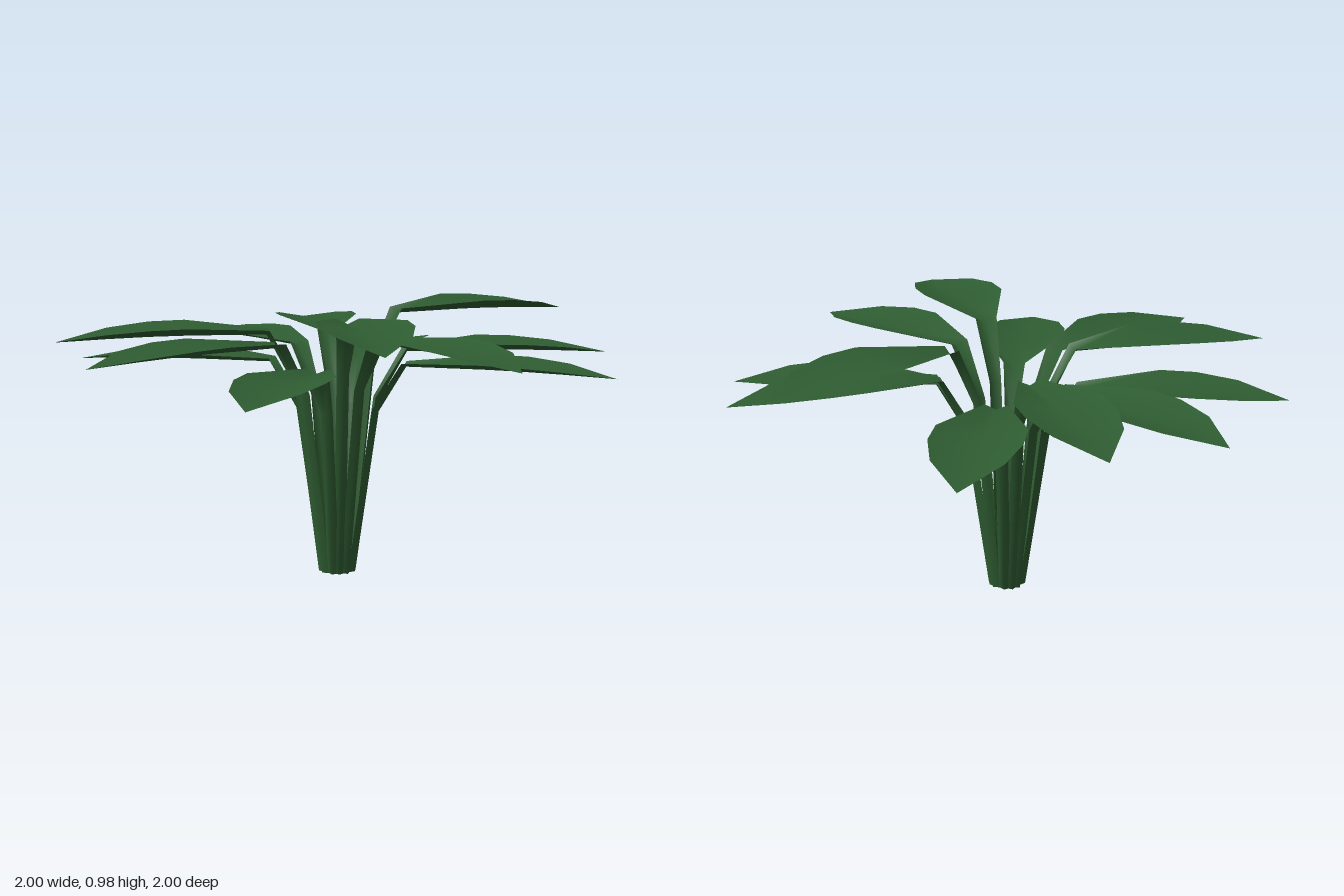
import * as THREE from 'three';

// Leaf cross-sections: [radius, height, half width, edge offset outward, edge offset up]
const SECTIONS = [
  [0.068, 0.0, 0.022, -0.02, 0.0],
  [0.155, 0.6, 0.022, -0.019, 0.008],
  [0.255, 0.765, 0.04, -0.008, 0.015],
  [0.54, 0.765, 0.153, 0, 0.035],
  [0.67, 0.763, 0.155, 0, 0.033],
  [0.82, 0.758, 0.118, 0, 0.024],
  [1.0, 0.75, 0.0, 0, 0],
];

// Leaf direction in degrees (from +x towards +z) and height factor
const LEAVES = [
  [0, 1], [-24.3, 1.055], [-46.2, 1.225], [-87.7, 1],
  [-114.3, 1.11], [-141, 1.055], [180, 1], [156.2, 1.145],
  [128.5, 1.1], [90, 1], [65.7, 1.225], [39, 1.13],
];

// One folded sheet: edge, midrib, edge for every cross-section
function leafGeometry(heightFactor) {
  const positions = [];
  const indices = [];
  SECTIONS.forEach(([r, y, w, dr, dy], i) => {
    for (const side of [-1, 0, 1]) {
      const edge = Math.abs(side);
      positions.push(r + dr * edge, (y + dy * edge) * heightFactor, w * side);
    }
    if (i === 0) return;
    for (let k = 0; k < 2; k++) {
      const a = (i - 1) * 3 + k;
      const b = a + 3;
      indices.push(a, a + 1, b);
      // the sheet closes to a point at the tip
      if (i < SECTIONS.length - 1) indices.push(a + 1, b + 1, b);
    }
  });
  const geometry = new THREE.BufferGeometry();
  geometry.setAttribute('position', new THREE.Float32BufferAttribute(positions, 3));
  geometry.setIndex(indices);
  geometry.computeVertexNormals();
  // the three tip points coincide, so they share the upward normal
  const normals = geometry.attributes.normal;
  for (let k = 1; k <= 3; k++) normals.setXYZ(normals.count - k, 0, 1, 0);
  return geometry;
}

export function createModel() {
  const plant = new THREE.Group();
  plant.name = 'plant';
  const material = new THREE.MeshStandardMaterial({ color: 0x2f5d32, side: THREE.DoubleSide });

  // Ring of arching leaves around an open centre
  LEAVES.forEach(([degrees, heightFactor], i) => {
    const leaf = new THREE.Mesh(leafGeometry(heightFactor), material);
    leaf.name = `leaf${i + 1}`;
    leaf.rotation.y = -THREE.MathUtils.degToRad(degrees);
    plant.add(leaf);
  });
  return plant;
}
